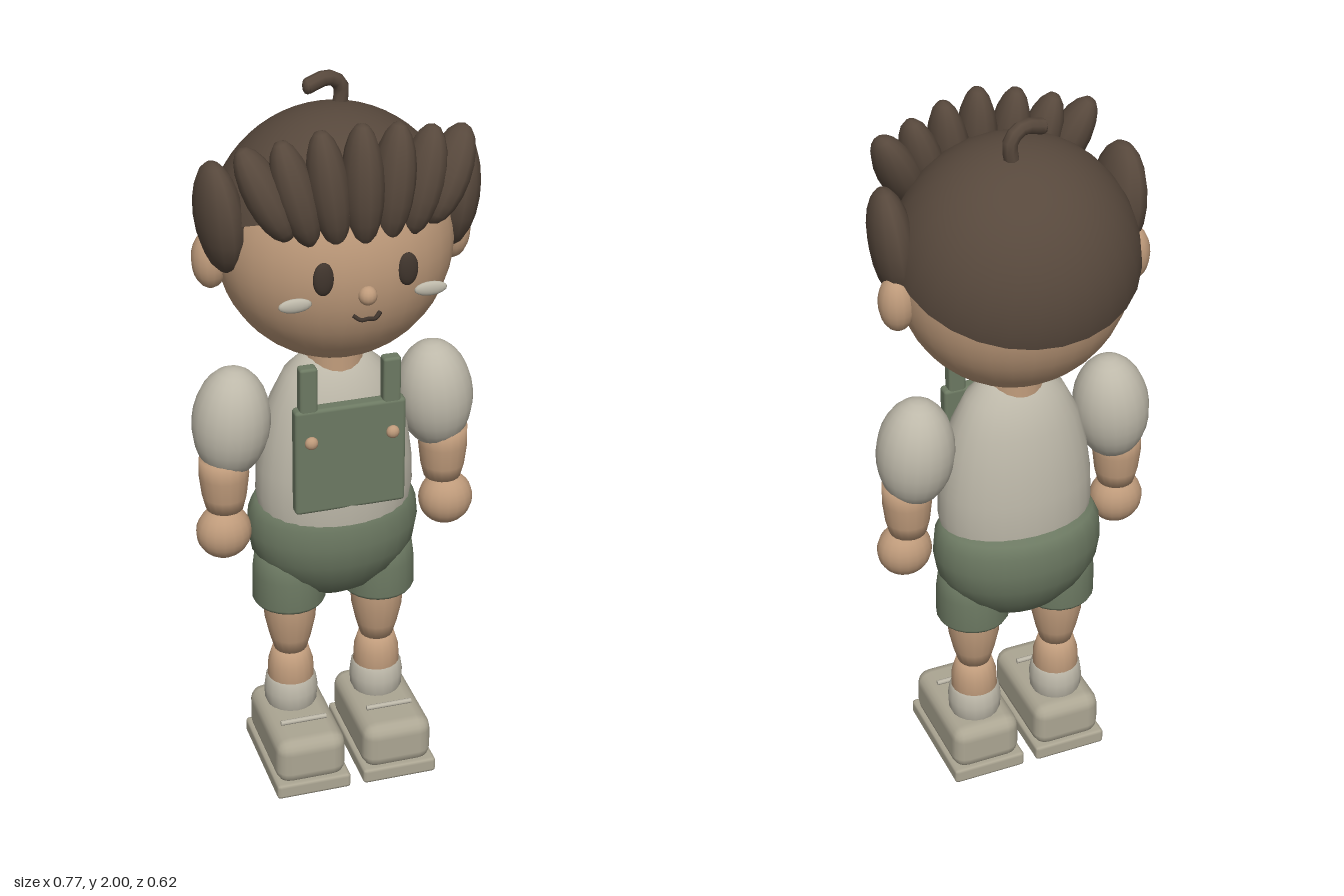
import * as THREE from 'three';
import { RoundedBoxGeometry } from 'three/addons/geometries/RoundedBoxGeometry.js';

export function createModel() {
  const root = new THREE.Group();
  root.name = 'child';

  const material = (name, color, side = THREE.FrontSide) => {
    const m = new THREE.MeshStandardMaterial({ color, side });
    m.name = name;
    return m;
  };
  const skin = material('skin', 0xbf9b7b);
  const hair = material('hair brown', 0x57483c, THREE.DoubleSide);
  const dark = material('dark features', 0x40352d);
  const cloth = material('pale cloth', 0xbdb8a9);
  const green = material('overall green', 0x6c7962, THREE.DoubleSide);
  const shoe = material('shoe beige', 0xaca693);

  const add = (name, geometry, mat, x = 0, y = 0, z = 0, rx = 0, ry = 0, rz = 0) => {
    const mesh = new THREE.Mesh(geometry, mat);
    mesh.name = name;
    mesh.position.set(x, y, z);
    mesh.rotation.set(rx, ry, rz);
    root.add(mesh);
    return mesh;
  };
  const ellipsoid = (rx, ry, rz, w = 20, h = 14) => new THREE.SphereGeometry(1, w, h).scale(rx, ry, rz);
  // Profile points run from bottom to top
  const lathe = (points, segments = 24, zScale = 1) =>
    new THREE.LatheGeometry(points.map(([r, y]) => new THREE.Vector2(r, y)), segments).scale(1, 1, zScale);
  const tube = (points, radius, segments, sides) =>
    new THREE.TubeGeometry(new THREE.CatmullRomCurve3(points.map(p => new THREE.Vector3(...p))), segments, radius, sides);

  // Head and neck
  add('head', ellipsoid(0.308, 0.32, 0.285, 32, 24), skin, 0, 1.575, 0);
  add('neck', new THREE.CylinderGeometry(0.075, 0.08, 0.12, 20), skin, 0, 1.26, 0);
  add('nose', ellipsoid(0.024, 0.025, 0.023, 14, 10), skin, 0, 1.533, 0.285);
  add('mouth', tube([[-0.035, 1.48, 0.277], [-0.018, 1.47, 0.288], [0, 1.473, 0.291],
    [0.018, 1.47, 0.288], [0.035, 1.48, 0.277]], 0.006, 16, 6), dark);

  // Hair cap, tipped back so its rim is high on the forehead and low on the nape
  const cap = new THREE.SphereGeometry(1, 28, 14, 0, Math.PI * 2, 0, Math.PI * 0.46);
  cap.rotateX(-0.38).scale(0.323, 0.332, 0.312);
  add('hairCap', cap, hair, 0, 1.585, 0);

  // Fringe tufts, fanning outward to each side: [x, y, z, half height, tilt]
  const tufts = [[0, 1.807, 0.24, 0.155, 0], [0.082, 1.8, 0.226, 0.15, 0.12],
    [0.16, 1.79, 0.21, 0.14, 0.26], [0.232, 1.79, 0.193, 0.13, 0.45]];
  tufts.forEach(([x, y, z, h, tilt], i) => {
    for (const s of i ? [-1, 1] : [1]) {
      add('fringeTuft', ellipsoid(0.052, h, 0.066, 12, 10), hair, s * x, y, z, -0.06, s * 0.12 * i, -s * tilt);
    }
  });
  add('topCurl', tube([[0.03, 1.88, -0.06], [0.036, 1.95, -0.06], [0, 1.977, -0.05], [-0.058, 1.964, -0.037]],
    0.02, 8, 8), hair);
  add('curlTip', ellipsoid(0.012, 0.02, 0.02, 8, 6), hair, -0.058, 1.964, -0.037);

  // Shirt body and seat of the shorts
  add('shirt', lathe([[0.205, 0.78], [0.215, 0.85], [0.212, 0.93], [0.2, 1.02], [0.175, 1.12],
    [0.135, 1.2], [0.085, 1.245], [0, 1.255]], 28, 0.72), cloth);
  add('shortsSeat', lathe([[0, 0.512], [0.07, 0.52], [0.135, 0.555], [0.19, 0.61], [0.226, 0.67], [0.236, 0.73],
    [0.231, 0.785], [0.214, 0.82], [0.18, 0.83]], 28, 0.74), green, 0, 0, -0.016);

  // Bib
  add('bib', new RoundedBoxGeometry(0.3, 0.305, 0.04, 2, 0.01), green, 0, 1.008, 0.135);

  for (const s of [-1, 1]) {
    // Face and side hair
    add('eye', ellipsoid(0.027, 0.044, 0.014, 16, 12), dark, s * 0.108, 1.583, 0.268);
    add('cheek', ellipsoid(0.043, 0.019, 0.01, 16, 10), cloth, s * 0.175, 1.513, 0.25);
    add('ear', ellipsoid(0.048, 0.078, 0.05, 16, 12), skin, s * 0.322, 1.545, -0.012);
    add('sideTuft', ellipsoid(0.058, 0.15, 0.1, 12, 10), hair, s * 0.31, 1.68, 0.045, 0.05, -s * 0.12, -s * 0.1);

    // Straps and buttons
    add('strap', new RoundedBoxGeometry(0.048, 0.14, 0.036, 2, 0.008), green, s * 0.112, 1.21, 0.135);
    add('button', ellipsoid(0.018, 0.018, 0.014, 12, 8), skin, s * 0.11, 1.073, 0.165);

    // Arm
    add('sleeve', ellipsoid(0.104, 0.155, 0.104, 20, 14), cloth, s * 0.28, 1.08, 0, 0, 0, s * 0.08);
    add('forearm', lathe([[0, 0.825], [0.05, 0.83], [0.06, 0.87], [0.067, 0.93], [0.066, 0.98], [0, 1.02]], 18),
      skin, s * 0.305, 0, 0.008);
    add('hand', ellipsoid(0.075, 0.076, 0.066, 18, 14), skin, s * 0.312, 0.764, 0.02);

    // Leg
    add('shortsLeg', lathe([[0.075, 0.507], [0.095, 0.507], [0.101, 0.517], [0.1, 0.6], [0.09, 0.68], [0, 0.72]], 22),
      green, s * 0.127, 0, -0.005);
    add('thigh', lathe([[0, 0.34], [0.045, 0.345], [0.058, 0.39], [0.071, 0.45], [0.075, 0.52], [0.06, 0.58]], 18),
      skin, s * 0.125, 0, -0.003);
    add('shin', lathe([[0.055, 0.2], [0.065, 0.25], [0.063, 0.3], [0.05, 0.345], [0, 0.36]], 18),
      skin, s * 0.125, 0, -0.003);
    add('sock', lathe([[0.06, 0.15], [0.073, 0.18], [0.075, 0.215], [0.07, 0.25], [0.06, 0.262], [0, 0.262]], 18),
      cloth, s * 0.125, 0, -0.003);

    // Shoe
    add('shoeUpper', new RoundedBoxGeometry(0.198, 0.14, 0.33, 2, 0.04), shoe, s * 0.124, 0.1, 0.055);
    add('shoeSole', new RoundedBoxGeometry(0.212, 0.045, 0.346, 1, 0.01), shoe, s * 0.124, 0.0225, 0.056);
    add('shoeLace', new THREE.CylinderGeometry(0.007, 0.007, 0.13, 8), cloth, s * 0.124, 0.177, 0.12, 0, 0, Math.PI / 2);
  }
  return root;
}
